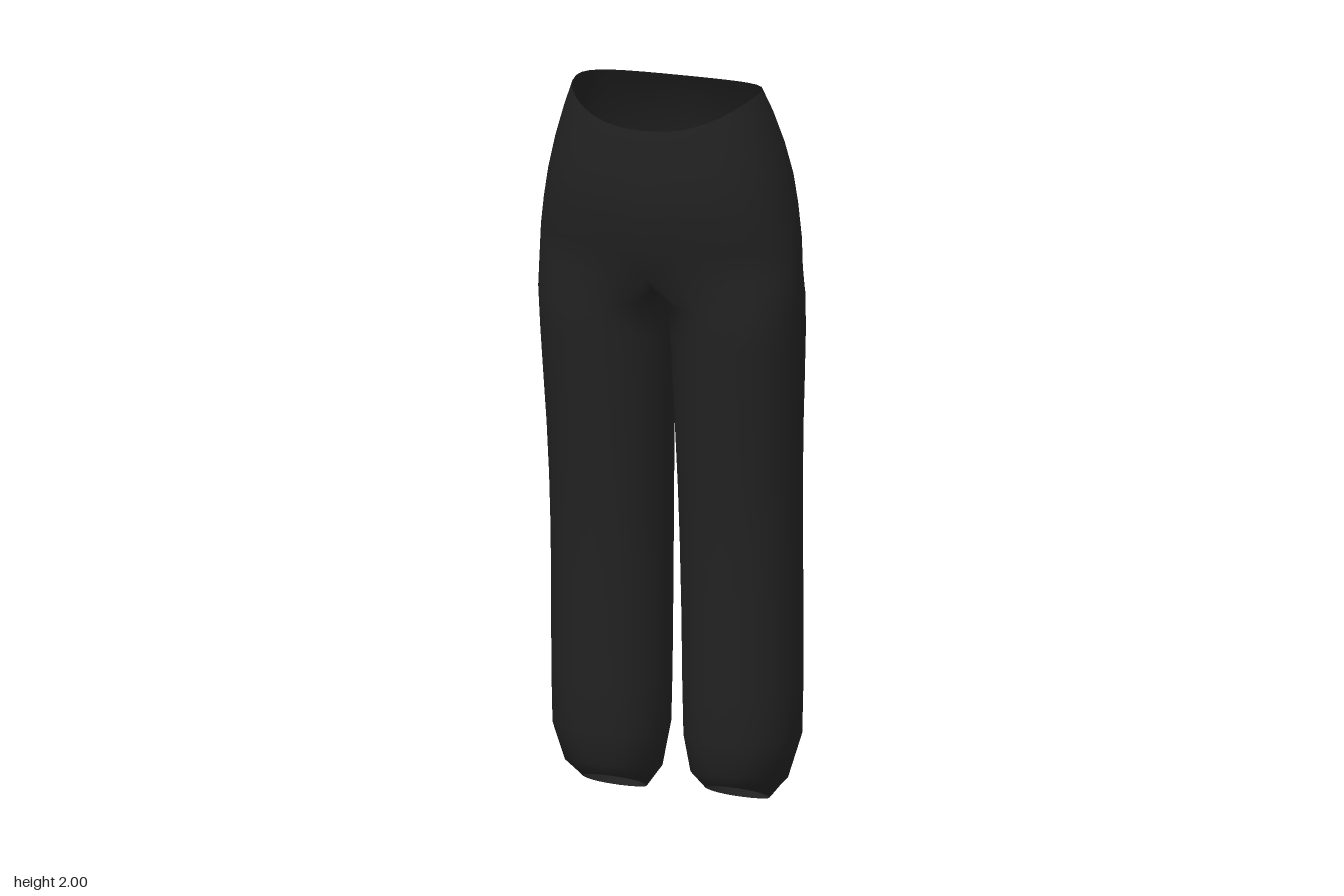
import * as THREE from 'three';
import { mergeVertices } from 'three/addons/utils/BufferGeometryUtils.js';

const RING = 24;  // points around a leg
const OUTER = 17; // of these, the points that carry on up into the hips

const spow = (v, p) => Math.sign(v) * Math.pow(Math.abs(v), p);

// One leg section: y, inner x, outer x, front z, back z, slope of y along z
function legRing([y, xi, xo, zf, zb, slope]) {
  const cx = (xi + xo) / 2, rx = (xo - xi) / 2;
  const cz = (zf + zb) / 2, rz = (zf - zb) / 2;
  return Array.from({ length: RING }, (_, j) => {
    const a = THREE.MathUtils.degToRad(120 - j * 15);
    const dz = rz * spow(Math.sin(a), 0.9);
    return [cx + rx * spow(Math.cos(a), 0.9), y + slope * dz, cz + dz];
  });
}

// One half of a hip section, from front centre round the side to back centre
function hipRing([y, w, zc, zf, zb, frontDip, backDip, cleft]) {
  return Array.from({ length: OUTER }, (_, j) => {
    const a = Math.PI / 2 - (j / (OUTER - 1)) * Math.PI;
    const s = Math.sin(a);
    const centre = j === 0 || j === OUTER - 1;
    const x = centre ? 0 : w * Math.pow(Math.cos(a), 0.85);
    const depth = s > 0 ? zf - zc : zc - zb;
    let z = zc + depth * spow(s, s > 0 ? 0.95 : 0.85);
    if (s < 0) z += cleft * Math.max(0, 1 - x / 0.1);
    return [x, y - (s > 0 ? frontDip : backDip) * s * s, z];
  });
}

// Hem to upper thigh
const legs = [
  [0.045, 0.092, 0.252, 0.065, -0.15, 0.42],
  [0.095, 0.05, 0.302, 0.093, -0.188, 0.22],
  [0.21, 0.029, 0.338, 0.11, -0.218, 0.04],
  [0.35, 0.026, 0.341, 0.113, -0.222, 0],
  [0.55, 0.024, 0.341, 0.117, -0.225, 0],
  [0.75, 0.021, 0.341, 0.123, -0.222, 0],
  [0.9, 0.018, 0.343, 0.131, -0.218, 0],
  [1.05, 0.014, 0.347, 0.143, -0.212, 0],
  [1.2, 0.009, 0.354, 0.156, -0.207, 0],
  [1.32, 0.006, 0.359, 0.167, -0.203, 0],
  [1.42, 0.003, 0.361, 0.178, -0.199, 0],
];

// Crotch level to waist
const hips = [
  [1.51, 0.359, 0, 0.19, -0.202, 0, 0, 0.01],
  [1.59, 0.354, 0, 0.208, -0.228, 0, 0, 0.015],
  [1.67, 0.344, 0, 0.226, -0.234, 0, 0, 0.015],
  [1.75, 0.331, 0, 0.234, -0.227, 0, 0, 0.012],
  [1.84, 0.31, 0.005, 0.23, -0.2, 0.02, 0, 0.008],
  [1.93, 0.283, 0.012, 0.225, -0.16, 0.045, 0.005, 0.004],
  [2.0, 0.258, 0.02, 0.22, -0.118, 0.075, 0.015, 0],
];

// Both mirrored halves, joined along the middle into one smooth skin
function trouserGeometry() {
  const legRows = legs.map(legRing);
  const hipRows = hips.map(hipRing);

  // The crotch row closes the thigh with a saddle along the middle seam
  const crotch = hipRows[0].slice();
  const [front, back] = [crotch[0], crotch[OUTER - 1]];
  const inner = RING - OUTER;
  for (let k = 1; k <= inner; k++) {
    const u = k / (inner + 1);
    const y = front[1] - 0.078 * Math.sqrt(Math.sin(Math.PI * u));
    crotch.push([0, y, THREE.MathUtils.lerp(back[2], front[2], u)]);
  }
  legRows.push(crotch);

  const positions = [];
  const addTriangle = (a, b, c) => {
    positions.push(...a, ...b, ...c);
    for (const p of [a, c, b]) positions.push(p[0] === 0 ? 0 : -p[0], p[1], p[2]);
  };
  const loft = (rows, closed) => {
    for (let i = 0; i < rows.length - 1; i++) {
      const n = rows[i].length;
      for (let j = 0; j < (closed ? n : n - 1); j++) {
        const k = (j + 1) % n;
        addTriangle(rows[i][j], rows[i][k], rows[i + 1][k]);
        addTriangle(rows[i][j], rows[i + 1][k], rows[i + 1][j]);
      }
    }
  };
  loft(legRows, true);
  loft(hipRows, false);

  let geometry = new THREE.BufferGeometry();
  geometry.setAttribute('position', new THREE.Float32BufferAttribute(positions, 3));
  geometry = mergeVertices(geometry, 1e-4);
  geometry.computeVertexNormals();
  return geometry;
}

export function createModel() {
  const group = new THREE.Group();
  group.name = 'trousers';
  const blackCloth = new THREE.MeshStandardMaterial({ color: 0x222222, side: THREE.DoubleSide });
  blackCloth.name = 'black cloth';
  const trousers = new THREE.Mesh(trouserGeometry(), blackCloth);
  trousers.name = 'trouserCloth';
  group.add(trousers);
  return group;
}
